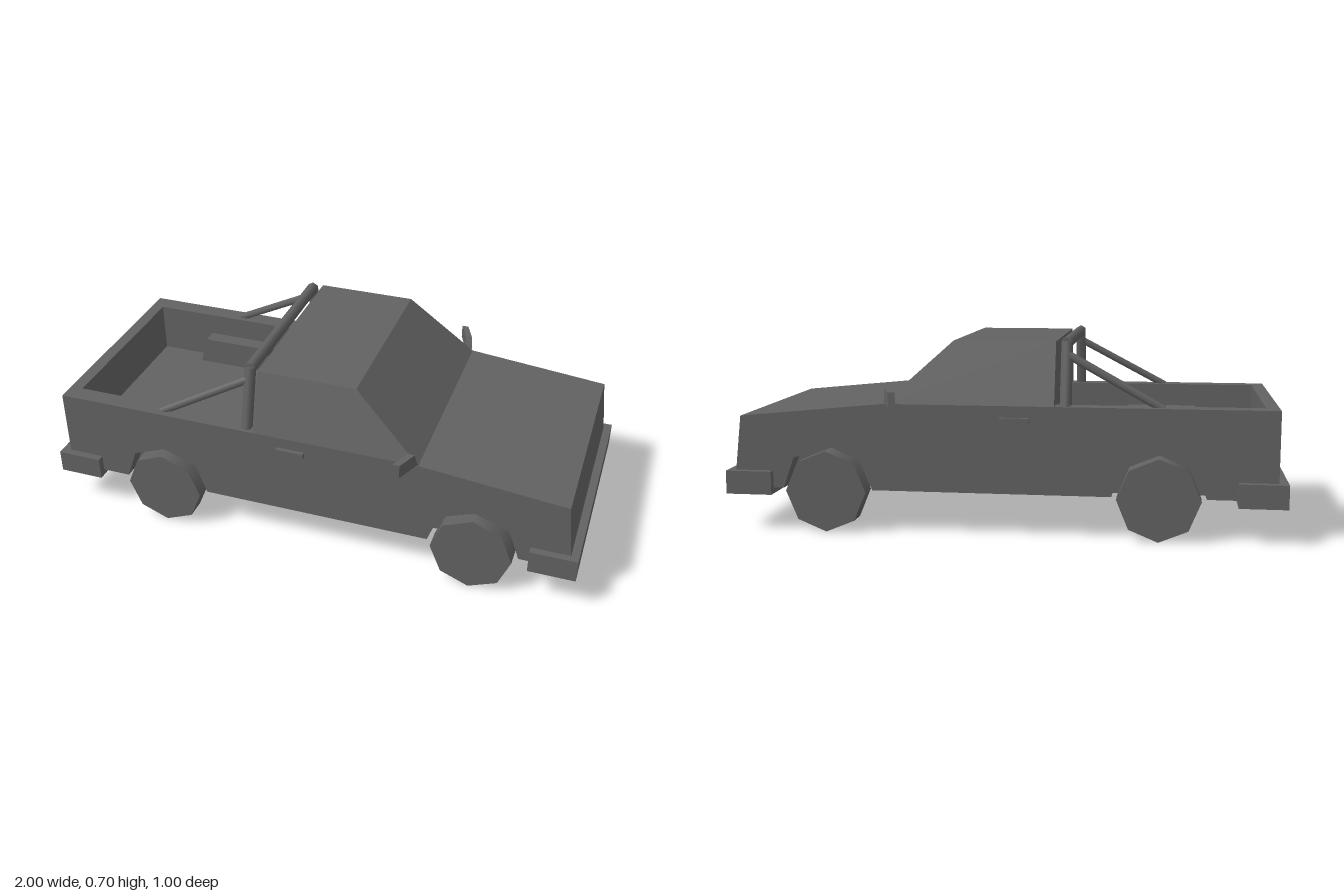
import * as THREE from 'three';

const FLOOR = 0.27, SILL = 0.151, BELT = 0.465, CAB_REAR = -0.192, SCREEN_BASE = 0.419;
const AXLES = [-0.559, 0.628], AXLE_Y = 0.147;

export function createModel() {
  const root = new THREE.Group();
  root.name = 'pickupTruck';
  const flat = new THREE.MeshStandardMaterial({ color: 0x626262, flatShading: true });
  const smooth = new THREE.MeshStandardMaterial({ color: 0x626262 });

  const add = (name, geometry, material = flat) => {
    const mesh = new THREE.Mesh(geometry, material);
    mesh.name = name;
    root.add(mesh);
    return mesh;
  };
  const box = (name, x0, x1, y0, y1, z0, z1) =>
    add(name, new THREE.BoxGeometry(x1 - x0, y1 - y0, z1 - z0)
      .translate((x0 + x1) / 2, (y0 + y1) / 2, (z0 + z1) / 2));
  const rod = (name, a, b, radius) => {
    const mesh = add(name, new THREE.CylinderGeometry(radius, radius, a.distanceTo(b), 6), smooth);
    mesh.position.copy(a).lerp(b, 0.5);
    mesh.quaternion.setFromUnitVectors(new THREE.Vector3(0, 1, 0), b.clone().sub(a).normalize());
  };

  // Lengthwise body section, optionally with the bed, its wheel humps and the wheel arches
  const section = ({ bed, hump, arches }) => {
    const pts = [[-0.967, SILL]];
    if (arches) {
      for (const x of AXLES) {
        pts.push([x - 0.165, SILL], [x - 0.125, 0.263], [x, 0.31], [x + 0.125, 0.263], [x + 0.165, SILL]);
      }
    }
    pts.push([0.978, SILL], [0.948, 0.413], [SCREEN_BASE, BELT]);
    if (bed) {
      pts.push([CAB_REAR, BELT], [CAB_REAR, FLOOR]);
      if (hump) pts.push([-0.395, FLOOR], [-0.425, 0.378], [-0.695, 0.378], [-0.725, FLOOR]);
      pts.push([-0.92, FLOOR], [-0.92, BELT]);
    }
    pts.push([-0.967, BELT]);
    return new THREE.Shape(pts.map(([x, y]) => new THREE.Vector2(x, y)));
  };
  const slice = (name, options, z0, z1) =>
    add(name, new THREE.ExtrudeGeometry(section(options), { depth: z1 - z0, bevelEnabled: false })
      .translate(0, 0, z0));

  slice('bodyCore', { bed: true }, -0.285, 0.285);
  for (const [side, s] of [['left', -1], ['right', 1]]) {
    const span = (a, b) => (s > 0 ? [a, b] : [-b, -a]);
    slice(side + 'WheelHousing', { bed: true, hump: true }, ...span(0.285, 0.342));
    slice(side + 'BodySide', { arches: true }, ...span(0.342, 0.41));
    box(side + 'DoorHandle', -0.104, 0.001, 0.404, 0.424, ...span(0.4, 0.425));

    // Door mirror, swept backwards as it reaches outwards
    const outline = [[0.4, 0.467], [0.501, 0.467], [0.501, 0.518], [0.424, 0.518], [0.41, 0.473]];
    const mirror = new THREE.ExtrudeGeometry(
      new THREE.Shape(outline.map(([z, y]) => new THREE.Vector2(-s * z, y))),
      { depth: 0.025, bevelEnabled: false }).rotateY(Math.PI / 2);
    const p = mirror.attributes.position;
    for (let i = 0; i < p.count; i++) {
      p.setX(i, p.getX(i) + 0.39 - (Math.abs(p.getZ(i)) - 0.41) * 0.42);
    }
    mirror.computeVertexNormals();
    add(side + 'Mirror', mirror);

    // Eight-sided wheels, corner down
    for (const x of AXLES) {
      const wheel = add(side + (x > 0 ? 'FrontWheel' : 'RearWheel'),
        new THREE.CylinderGeometry(0.147, 0.147, 0.077, 8).rotateX(Math.PI / 2), smooth);
      wheel.position.set(x, AXLE_Y, s * 0.3985);
    }

    // Roll bar leg and rear strut
    rod(side + 'RollBarLeg', new THREE.Vector3(-0.228, 0.455, s * 0.383),
      new THREE.Vector3(-0.228, 0.685, s * 0.323), 0.021);
    rod(side + 'RollBarStrut', new THREE.Vector3(-0.233, 0.642, s * 0.337),
      new THREE.Vector3(-0.57, 0.46, s * 0.376), 0.015);
  }
  rod('rollBarTop', new THREE.Vector3(-0.228, 0.682, -0.328), new THREE.Vector3(-0.228, 0.682, 0.328), 0.021);

  // Cab: a box with its roof drawn in at the sides and windscreen
  const cab = new THREE.BoxGeometry(SCREEN_BASE - CAB_REAR, 0.688 - BELT, 0.82)
    .translate((SCREEN_BASE + CAB_REAR) / 2, (0.688 + BELT) / 2, 0);
  const c = cab.attributes.position;
  for (let i = 0; i < c.count; i++) {
    if (c.getY(i) > 0.6) {
      c.setZ(i, Math.sign(c.getZ(i)) * 0.345);
      if (c.getX(i) > 0) c.setX(i, 0.173);
    }
  }
  cab.computeVertexNormals();
  add('cab', cab);

  // Bumpers wrapping both ends
  box('frontBumper', 0.831, 1, 0.129, 0.214, -0.437, 0.437);
  box('rearBumper', -1, -0.831, 0.129, 0.214, -0.437, 0.437);

  // Axles under the floor
  for (const x of AXLES) {
    add(x > 0 ? 'frontAxle' : 'rearAxle',
      new THREE.CylinderGeometry(0.04, 0.04, 0.73, 16).rotateX(Math.PI / 2), smooth)
      .position.set(x, AXLE_Y, 0);
  }
  return root;
}
